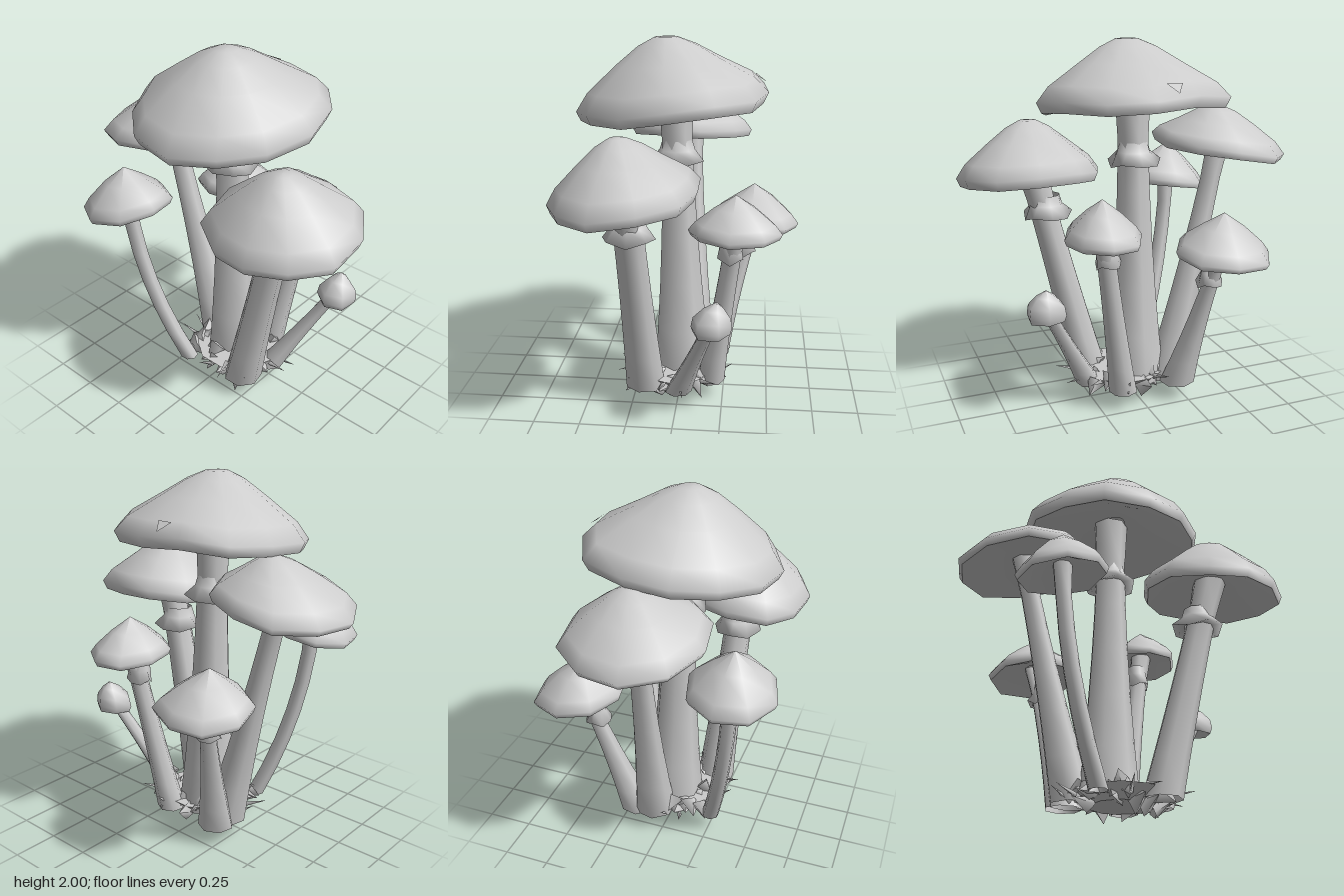
import * as THREE from 'three';

const grey = new THREE.MeshStandardMaterial({ color: 0xcccccc, side: THREE.DoubleSide });
grey.name = 'pale grey';

// Small seeded random source
function seeded(seed) {
  let s = seed;
  return () => {
    s = (s * 16807) % 2147483647;
    return s / 2147483647;
  };
}

// Skin a stack of closed rings; point(i, angle, j) gives corner j of ring i
function loft(name, rings, sides, point) {
  const pos = [], index = [];
  for (let i = 0; i < rings; i++) {
    for (let j = 0; j < sides; j++) pos.push(...point(i, (j / sides) * Math.PI * 2, j));
  }
  for (let i = 0; i < rings - 1; i++) {
    for (let j = 0; j < sides; j++) {
      const k = (j + 1) % sides;
      const a = i * sides + j, b = a + sides, c = (i + 1) * sides + k, d = i * sides + k;
      index.push(a, b, c, a, c, d);
    }
  }
  const g = new THREE.BufferGeometry();
  g.setAttribute('position', new THREE.Float32BufferAttribute(pos, 3));
  g.setIndex(index);
  g.computeVertexNormals();
  const mesh = new THREE.Mesh(g, grey);
  mesh.name = name;
  return mesh;
}

// Cap profiles as [radius fraction, height fraction]
const DOME = [[0.95, -0.11], [1, 0.05], [0.87, 0.29], [0.55, 0.62], [0.3, 0.87], [0.12, 0.99], [0.001, 1]];
const CONE = [[0.94, -0.11], [1, 0.04], [0.85, 0.26], [0.45, 0.65], [0.001, 1]];
const BUTTON = [[0.9, -0.1], [1, 0.1], [0.92, 0.42], [0.5, 0.76], [0.001, 1]];

// Tilted, slightly uneven cap: top surface and hollow underside
function cap(centre, apex, { r, depth = 1, slope, sides, profile = DOME }) {
  const rnd = seeded(sides * 7 + Math.round(r * 1000));
  const wobble = Array.from({ length: sides }, () => [0.95 + rnd() * 0.09, (rnd() - 0.5) * 0.1]);
  const h = apex[1] - centre[1];
  const gills = [[0.1, 0.25], [0.5, 0.13], profile[0]];
  const point = (prof) => (i, angle, j) => {
    const [f, y] = prof[i];
    const a = angle + 0.13;
    const dx = Math.cos(a) * r * f * wobble[j][0];
    const dz = Math.sin(a) * r * depth * f * wobble[j][0];
    return [
      centre[0] + (apex[0] - centre[0]) * (1 - f) + dx,
      centre[1] + h * (y + wobble[j][1] * f * f) + (slope[0] * dx + slope[1] * dz) * f,
      centre[2] + (apex[2] - centre[2]) * (1 - f) + dz,
    ];
  };
  const g = new THREE.Group();
  g.name = 'cap';
  g.add(loft('capTop', profile.length, sides, point(profile)));
  g.add(loft('capUnderside', gills.length, sides, point(gills)));
  return g;
}

// Point on a stem that rises from foot to top and bows outward
function along(foot, top, bow, t) {
  return new THREE.Vector3().lerpVectors(foot, top, t + bow * t * (1 - t)).setY(foot.y + (top.y - foot.y) * t);
}

// Stem that swells towards the foot and flares a little into the cap
function stem(foot, top, bow, [wide, thin]) {
  const rings = 7;
  return loft('stem', rings, 7, (i, a) => {
    const t = i / (rings - 1);
    const p = along(foot, top, bow, t);
    const r = (thin + (wide - thin) * (1 - t) ** 2) * (t === 1 ? 1.2 : 1);
    return [p.x + Math.cos(a) * r, p.y, p.z + Math.sin(a) * r];
  });
}

// Ragged skirt hanging around a stem
function skirt(at, inner, outer, height) {
  const prof = [[inner, 0.15], [outer, 0], [inner * 1.2, 0.55], [inner, 1]];
  return loft('skirt', prof.length, 8, (i, a, j) => {
    const ragged = i === 1 ? Math.sin(j * 2.3) : 0;
    const r = prof[i][0] * (0.97 + ragged * 0.1);
    return [at.x + Math.cos(a) * r, at.y + height * (prof[i][1] + 0.15 + ragged * 0.15), at.z + Math.sin(a) * r];
  });
}

// Whole mushroom; centre is the middle of the cap rim, foot is its [x, z] on the soil
function mushroom(name, centre, apex, foot, widths, capShape, { bow = 0, skirtAt, skirtRadius } = {}) {
  const g = new THREE.Group();
  g.name = name;
  const base = new THREE.Vector3(foot[0], 0.1, foot[1]);
  const top = new THREE.Vector3(centre[0], centre[1] + (apex[1] - centre[1]) * 0.22, centre[2]);
  g.add(stem(base, top, bow, widths), cap(centre, apex, capShape));
  if (skirtAt) {
    const at = along(base, top, bow, (skirtAt - base.y) / (top.y - base.y));
    g.add(skirt(at, widths[1], skirtRadius, 0.12));
  }
  return g;
}

// Crumbs and thin shards of soil around the foot
function clump() {
  const g = new THREE.Group();
  g.name = 'soilClump';
  const rnd = seeded(97);
  const bed = new THREE.Mesh(new THREE.CylinderGeometry(0.25, 0.17, 0.07, 10), grey);
  bed.name = 'soilBed';
  bed.position.set(-0.03, 0.12, 0.04);
  g.add(bed);
  const place = (geo, name, radius, y, turn, lean) => {
    const m = new THREE.Mesh(geo, grey);
    m.name = name;
    const a = turn * Math.PI * 2;
    m.position.set(-0.03 + Math.cos(a) * radius, y, 0.04 + Math.sin(a) * radius * 1.12);
    const out = new THREE.Vector3(Math.cos(a), lean, Math.sin(a)).normalize();
    m.quaternion.setFromUnitVectors(new THREE.Vector3(0, 1, 0), out);
    g.add(m);
  };
  for (let i = 0; i < 28; i++) {
    const geo = new THREE.ConeGeometry(0.055 + rnd() * 0.02, 0.09 + rnd() * 0.03, 4);
    geo.scale(1, 1, 0.6);
    place(geo, 'crumb', 0.17 + rnd() * 0.1, 0.08 + rnd() * 0.09, (i + rnd() * 0.6) / 28, rnd() * 1.6 - 1);
  }
  for (let i = 0; i < 12; i++) {
    const geo = new THREE.ConeGeometry(0.015, 0.13, 3);
    place(geo, 'shard', 0.25 + rnd() * 0.05, 0.13 + rnd() * 0.05, (i + rnd() * 0.6) / 12, rnd() * 1.1 - 0.2);
  }
  return g;
}

// Loose flake on the tall cap
function flake() {
  const g = new THREE.CircleGeometry(0.05, 3);
  g.rotateX(-Math.PI / 2).rotateZ(-0.6);
  const m = new THREE.Mesh(g, grey);
  m.name = 'capFlake';
  m.position.set(0.41, 1.79, -0.07);
  return m;
}

export function createModel() {
  const model = new THREE.Group();
  model.name = 'mushroomCluster';
  model.add(
    mushroom('tallMushroom', [-0.03, 1.66, -0.02], [-0.08, 2, 0], [0.01, -0.02], [0.17, 0.082],
      { r: 0.52, slope: [0.11, 0], sides: 13 }, { skirtAt: 1.32, skirtRadius: 0.15 }),
    mushroom('frontMushroom', [-0.235, 1.27, 0.495], [-0.26, 1.57, 0.5], [-0.18, 0.2], [0.11, 0.078],
      { r: 0.39, slope: [0.12, 0], sides: 11 }, { skirtAt: 1.02, skirtRadius: 0.14 }),
    mushroom('backMushroom', [0.025, 1.41, -0.515], [0.06, 1.64, -0.46], [0.07, -0.19], [0.12, 0.054],
      { r: 0.37, slope: [-0.03, 0.15], sides: 10 }),
    mushroom('backRightMushroom', [-0.43, 1.14, -0.4], [-0.44, 1.36, -0.4], [-0.26, -0.15], [0.05, 0.042],
      { r: 0.245, slope: [0.04, 0.18], sides: 8, profile: CONE }, { bow: 0.8 }),
    mushroom('backLeftMushroom', [0.42, 0.92, -0.35], [0.4, 1.13, -0.36], [0.17, -0.21], [0.1, 0.04],
      { r: 0.255, slope: [-0.14, 0.06], sides: 8, profile: CONE }, { skirtAt: 0.71, skirtRadius: 0.075 }),
    mushroom('frontLeftMushroom', [0.315, 1.04, 0.28], [0.31, 1.24, 0.28], [0.18, 0.12], [0.08, 0.05],
      { r: 0.25, depth: 0.82, slope: [0, 0], sides: 8, profile: CONE }, { skirtAt: 0.86, skirtRadius: 0.07 }),
    mushroom('buttonMushroom', [0.205, 0.61, 0.55], [0.23, 0.77, 0.56], [0.01, 0.26], [0.075, 0.038],
      { r: 0.11, slope: [0, 0], sides: 6, profile: BUTTON }),
    clump(),
    flake(),
  );
  return model;
}
